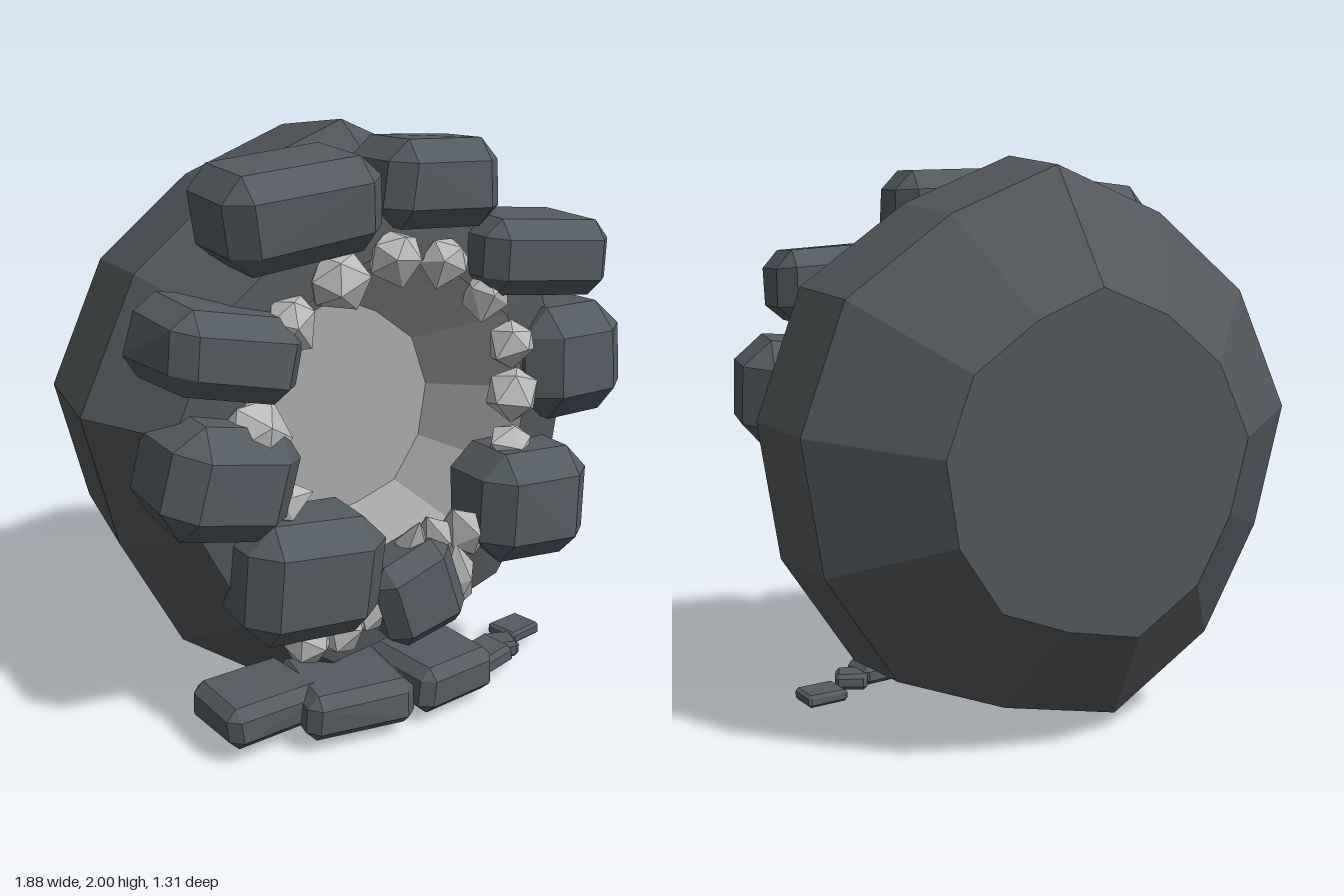
import * as THREE from 'three';
import { ConvexGeometry } from 'three/addons/geometries/ConvexGeometry.js';

let seed = 7;
const rand = () => {
  seed = (seed * 16807) % 2147483647;
  return seed / 2147483647 - 0.5;
};

const mat = (name, color) => {
  const m = new THREE.MeshStandardMaterial({ color, flatShading: true });
  m.name = name;
  return m;
};

// Irregular outline of the shell, clockwise from the top
const outline = [
  [0, 2], [0.39, 1.83], [0.76, 1.55], [0.92, 1.1], [0.85, 0.62], [0.6, 0.23], [0.2, 0.08],
  [-0.24, 0], [-0.62, 0.27], [-0.83, 0.67], [-0.94, 1.12], [-0.74, 1.56], [-0.4, 1.84],
];
const N = outline.length;
const ring = (scale, z, cy = 1.05) =>
  outline.map(([x, y]) => [x * scale, cy + (y - 1.05) * scale, z]);

// Joins rings with flat facets; optional fan cap on the first or last ring
function loft(rings, capFirst, capLast) {
  const pos = [];
  const tri = (...p) => p.forEach((v) => pos.push(...v));
  for (let i = 0; i < rings.length - 1; i++) {
    for (let j = 0; j < N; j++) {
      const k = (j + 1) % N;
      const a = rings[i][j], b = rings[i][k], c = rings[i + 1][k], d = rings[i + 1][j];
      tri(a, d, c);
      tri(a, c, b);
    }
  }
  for (let n = 1; n < N - 1; n++) {
    const j = (3 + n) % N, k = (4 + n) % N;
    const f = rings[0], l = rings[rings.length - 1];
    if (capFirst) tri(f[3], f[j], f[k]);
    if (capLast) tri(l[3], l[k], l[j]);
  }
  const g = new THREE.BufferGeometry();
  g.setAttribute('position', new THREE.Float32BufferAttribute(pos, 3));
  g.computeVertexNormals();
  return g;
}

// Chamfered, slightly uneven block
function rockGeometry(w, h, d) {
  const pts = [];
  const c = Math.min(w, h, d) * 0.24;
  for (const sx of [-1, 1]) for (const sy of [-1, 1]) for (const sz of [-1, 1]) {
    const x = w / 2 * (1 + rand() * 0.1);
    const y = h / 2 * (1 + rand() * 0.1);
    const z = d / 2 * (1 + rand() * 0.06);
    pts.push(
      new THREE.Vector3(sx * x, sy * (y - c), sz * (z - c)),
      new THREE.Vector3(sx * (x - c), sy * y, sz * (z - c)),
      new THREE.Vector3(sx * (x - c), sy * (y - c), sz * z),
    );
  }
  return new ConvexGeometry(pts);
}

// Faceted crystal: two uneven five-sided points around a belt
function crystalGeometry(r, length) {
  const pts = [new THREE.Vector3(0, length, 0), new THREE.Vector3(0, -r, 0)];
  for (let i = 0; i < 5; i++) {
    const a = i / 5 * Math.PI * 2 + rand() * 0.3;
    pts.push(new THREE.Vector3(Math.cos(a) * r, length * 0.3 + rand() * r * 0.3, Math.sin(a) * r));
    pts.push(new THREE.Vector3(Math.cos(a + 0.6) * r * 0.9, -r * 0.5, Math.sin(a + 0.6) * r * 0.9));
  }
  return new ConvexGeometry(pts);
}

export function createModel() {
  seed = 7;
  const model = new THREE.Group();
  model.name = 'geode';
  const shellMat = mat('dark shell stone', 0x53575a);
  const rockMat = mat('rim rock', 0x545b60);
  const cavityMat = mat('cavity grey', 0xaaaaaa);
  const crystalMat = mat('pale crystal', 0xbababa);
  const add = (name, geo, material, parent = model) => {
    const m = new THREE.Mesh(geo, material);
    m.name = name;
    parent.add(m);
    return m;
  };
  const group = (name) => {
    const g = new THREE.Group();
    g.name = name;
    model.add(g);
    return g;
  };

  // Outer shell from the flat back to the front lip, then the hollow
  const lip = ring(0.6, 0.45, 1.06);
  add('shell', loft([ring(0.56, -0.65, 1.03), ring(0.945, -0.3), ring(1, 0.12), ring(0.8, 0.42), lip], true, false), shellMat);
  add('cavity', loft([lip, ring(0.4, 0.1, 1.02)], false, true), cavityMat);

  // Blocks around the opening: x, y, z, width, height, depth, roll in degrees
  const rocks = group('rimRocks');
  [
    [-0.34, 1.77, 0.37, 0.54, 0.3, 0.38, 6],
    [0.16, 1.82, 0.38, 0.41, 0.28, 0.36, -3],
    [0.55, 1.56, 0.39, 0.5, 0.25, 0.4, -5],
    [0.73, 1.16, 0.37, 0.39, 0.39, 0.4, 3],
    [0.52, 0.7, 0.46, 0.42, 0.39, 0.36, -2],
    [0.07, 0.46, 0.48, 0.3, 0.32, 0.24, 17],
    [-0.33, 0.6, 0.46, 0.48, 0.4, 0.36, -2],
    [-0.61, 0.97, 0.41, 0.44, 0.37, 0.4, -14],
    [-0.59, 1.37, 0.38, 0.46, 0.27, 0.4, -12],
  ].forEach(([x, y, z, w, h, d, roll]) => {
    const m = add('rimRock', rockGeometry(w, h, d), rockMat, rocks);
    m.position.set(x, y, z);
    m.rotation.set(rand() * 0.12, rand() * 0.2, THREE.MathUtils.degToRad(roll));
  });

  // Flat slabs and pebbles on the ground: x, y, z, width, height, depth, turn
  const slabs = group('groundSlabs');
  [
    [-0.48, 0.13, 0.4, 0.36, 0.15, 0.3, 0.1],
    [-0.18, 0.125, 0.46, 0.38, 0.16, 0.36, -0.1],
    [0.18, 0.12, 0.44, 0.34, 0.16, 0.36, 0.15],
    [0.43, 0.08, 0.43, 0.18, 0.07, 0.15, 0.3],
    [0.54, 0.07, 0.38, 0.12, 0.06, 0.11, -0.3],
    [0.68, 0.06, 0.28, 0.15, 0.045, 0.13, 0.2],
  ].forEach(([x, y, z, w, h, d, turn]) => {
    const m = add('groundSlab', rockGeometry(w, h, d), rockMat, slabs);
    m.position.set(x, y, z);
    m.rotation.y = turn;
  });

  // Crystals lining the opening, pointing inward and forward: x, y, radius, length
  const crystals = group('crystals');
  [
    [-0.37, 1.43, 0.09, 0.1], [-0.2, 1.54, 0.1, 0.1], [0, 1.6, 0.09, 0.1],
    [0.19, 1.57, 0.08, 0.1], [0.36, 1.45, 0.08, 0.11], [0.47, 1.26, 0.08, 0.1],
    [0.49, 1.08, 0.09, 0.12], [0.49, 0.9, 0.07, 0.12], [-0.5, 1.09, 0.12, 0.12],
    [-0.42, 0.85, 0.07, 0.12], [0.3, 0.6, 0.08, 0.2], [0.18, 0.6, 0.07, 0.18],
    [0.08, 0.58, 0.06, 0.16], [0.26, 0.42, 0.08, 0.2], [-0.1, 0.42, 0.09, 0.16],
    [-0.2, 0.36, 0.09, 0.14], [-0.32, 0.34, 0.08, 0.12], [0.02, 0.36, 0.08, 0.14],
  ].forEach(([x, y, r, length]) => {
    const m = add('crystal', crystalGeometry(r, length), crystalMat, crystals);
    m.position.set(x, y, 0.46);
    const dir = new THREE.Vector3(-x + rand() * 0.3, 1.05 - y, 0.25 + rand() * 0.2).normalize();
    m.quaternion.setFromUnitVectors(new THREE.Vector3(0, 1, 0), dir);
  });

  return model;
}
